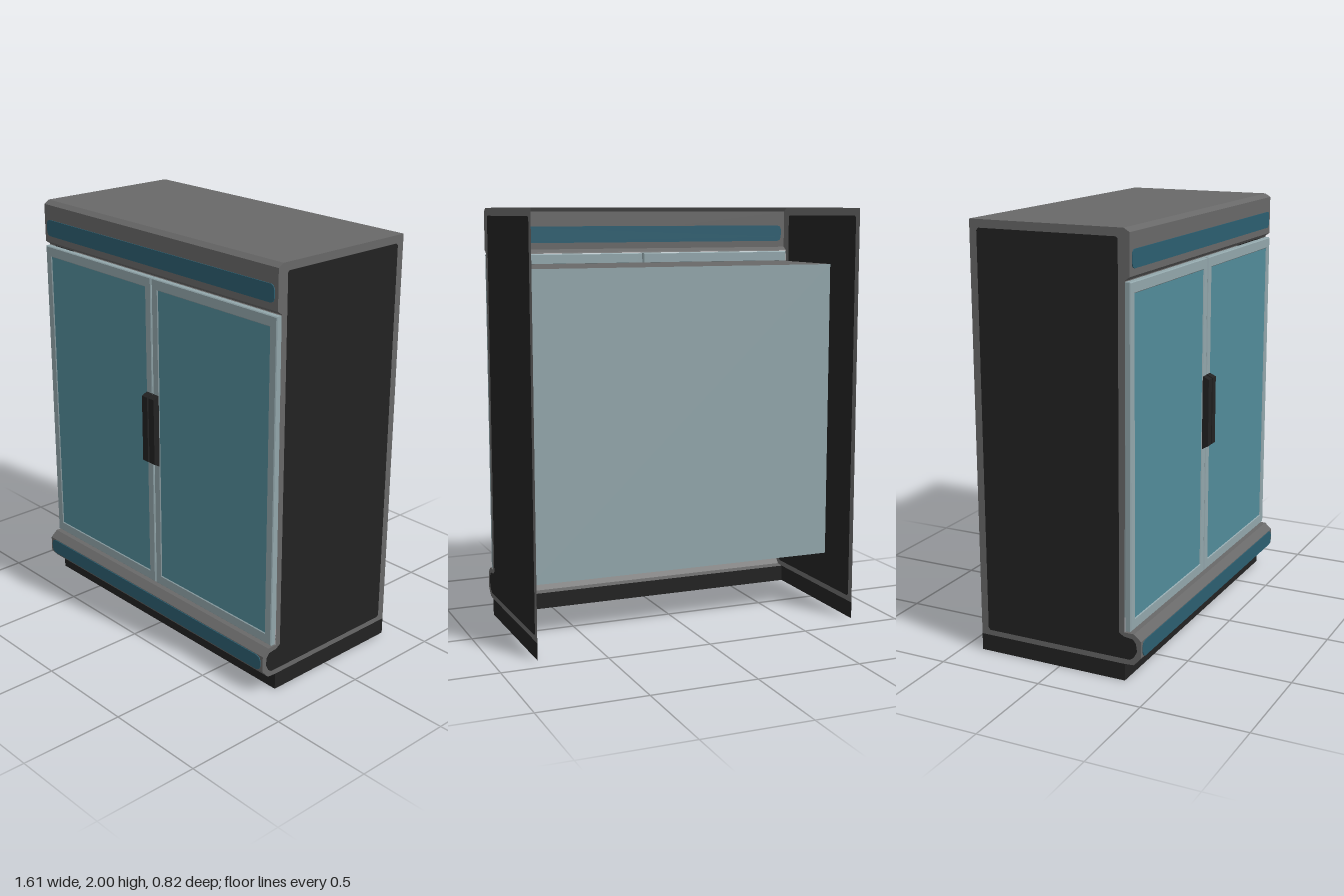
import * as THREE from 'three';

const mat = (name, color) => {
  const m = new THREE.MeshStandardMaterial({ color, side: THREE.DoubleSide });
  m.name = name;
  return m;
};

export function createModel() {
  const group = new THREE.Group();
  const grey = mat('shell grey', 0x686868);
  const dark = mat('near black', 0x222222);
  const pale = mat('pale frame', 0x92a6ab);
  const glass = mat('glass teal', 0x528b99);
  const blue = mat('deep blue', 0x2c5e70);
  const W = 0.805;

  const add = (name, geo, material, x = 0, y = 0, z = 0) => {
    const mesh = new THREE.Mesh(geo, material);
    mesh.name = name;
    mesh.position.set(x, y, z);
    group.add(mesh);
    return mesh;
  };

  // Sheet swept across the full width along a [z, y] profile
  const sheet = (profile) => {
    const pos = [];
    for (let i = 0; i < profile.length - 1; i++) {
      const [z0, y0] = profile[i], [z1, y1] = profile[i + 1];
      const a = [-W, y0, z0], b = [W, y0, z0], c = [W, y1, z1], d = [-W, y1, z1];
      pos.push(...a, ...d, ...c, ...a, ...c, ...b);
    }
    const geo = new THREE.BufferGeometry();
    geo.setAttribute('position', new THREE.Float32BufferAttribute(pos, 3));
    geo.computeVertexNormals();
    return geo;
  };
  const shapeOf = (pts) => new THREE.Shape(pts.map(([a, b]) => new THREE.Vector2(a, b)));
  const rect = (x0, y0, x1, y1) => [[x0, y0], [x1, y0], [x1, y1], [x0, y1]];

  // Thin plate with clipped corners, centred on the origin
  const plate = (w, h, c) => {
    const x = w / 2, y = h / 2, k = c * 0.3;
    const pts = [[-x + c, -y], [x - c, -y], [x - k, -y + k], [x, -y + c], [x, y - c], [x - k, y - k],
      [x - c, y], [-x + c, y], [-x + k, y - k], [-x, y - c], [-x, -y + c], [-x + k, -y + k]];
    return new THREE.ExtrudeGeometry(shapeOf(pts), { depth: 0.008, bevelEnabled: false }).translate(0, 0, -0.004);
  };

  // Roof, header and bulging lower sill
  const header = [[0.33, 2], [0.357, 1.983], [0.357, 1.8], [0.335, 1.785]];
  const sill = [[0.33, 0.23], [0.375, 0.23], [0.41, 0.2], [0.41, 0.122], [0.375, 0.083], [0.33, 0.08]];
  add('roofAndHeader', sheet([[-0.41, 2], ...header, [0.33, 1.78]]), grey);
  add('lowerSill', sheet(sill), grey);
  add('headerStrip', plate(1.57, 0.08, 0.02), blue, 0, 1.871, 0.357);
  add('sillStrip', plate(1.585, 0.074, 0.025), blue, 0, 0.16, 0.41);

  // Side walls: grey border around a dark panel, with plinth below
  const outer = [[-0.41, 0.08], [-0.41, 2], ...header, ...sill];
  const inner = [[-0.375, 0.115], [-0.365, 0.105], [0.355, 0.105], [0.375, 0.12], [0.39, 0.15], [0.385, 0.185],
    [0.37, 0.205], [0.325, 0.21], [0.303, 0.225], [0.303, 1.955], [0.295, 1.963], [-0.365, 1.963], [-0.375, 1.953]];
  const border = shapeOf(outer);
  border.holes.push(shapeOf(inner));
  for (const s of [-1, 1]) {
    const side = s > 0 ? 'left' : 'right';
    const wall = (shape) => new THREE.ShapeGeometry(shape).rotateY(-Math.PI / 2);
    add(side + 'WallBorder', wall(border), grey, s * W);
    add(side + 'WallPanel', wall(shapeOf(inner)), dark, s * W);
    add(side + 'PlinthSide', wall(shapeOf(rect(-0.41, 0, 0.33, 0.08))), dark, s * W);
  }
  add('plinthFront', sheet([[0.33, 0.08], [0.33, 0]]), dark);

  // Inner cabinet, grey on top
  const liner = new THREE.BoxGeometry(1.54, 1.445, 0.53);
  add('innerCabinet', liner, [pale, pale, grey, pale, pale, pale], 0, 1.0075, 0.065);

  // Pair of framed glass doors with handles
  for (const s of [-1, 1]) {
    const side = s > 0 ? 'left' : 'right';
    const frame = shapeOf(rect(-0.396, -0.767, 0.396, 0.767));
    frame.holes.push(shapeOf(rect(-0.362, -0.724, 0.362, 0.724)));
    const frameGeo = new THREE.ExtrudeGeometry(frame, {
      depth: 0.022, bevelEnabled: true, bevelThickness: 0.004, bevelSize: 0.004, bevelSegments: 1,
    });
    add(side + 'DoorFrame', frameGeo, pale, s * 0.403, 1.007, 0.334);
    add(side + 'DoorGlass', new THREE.BoxGeometry(0.726, 1.45, 0.02), glass, s * 0.403, 1.007, 0.346);

    const grip = shapeOf([[0.355, 0.866], [0.39, 0.886], [0.39, 1.21], [0.355, 1.226]]);
    const gripGeo = new THREE.ExtrudeGeometry(grip, { depth: 0.037, bevelEnabled: false })
      .translate(0, 0, -0.0185).rotateY(-Math.PI / 2);
    add(side + 'DoorHandle', gripGeo, dark, s * 0.0235);
  }
  return group;
}
